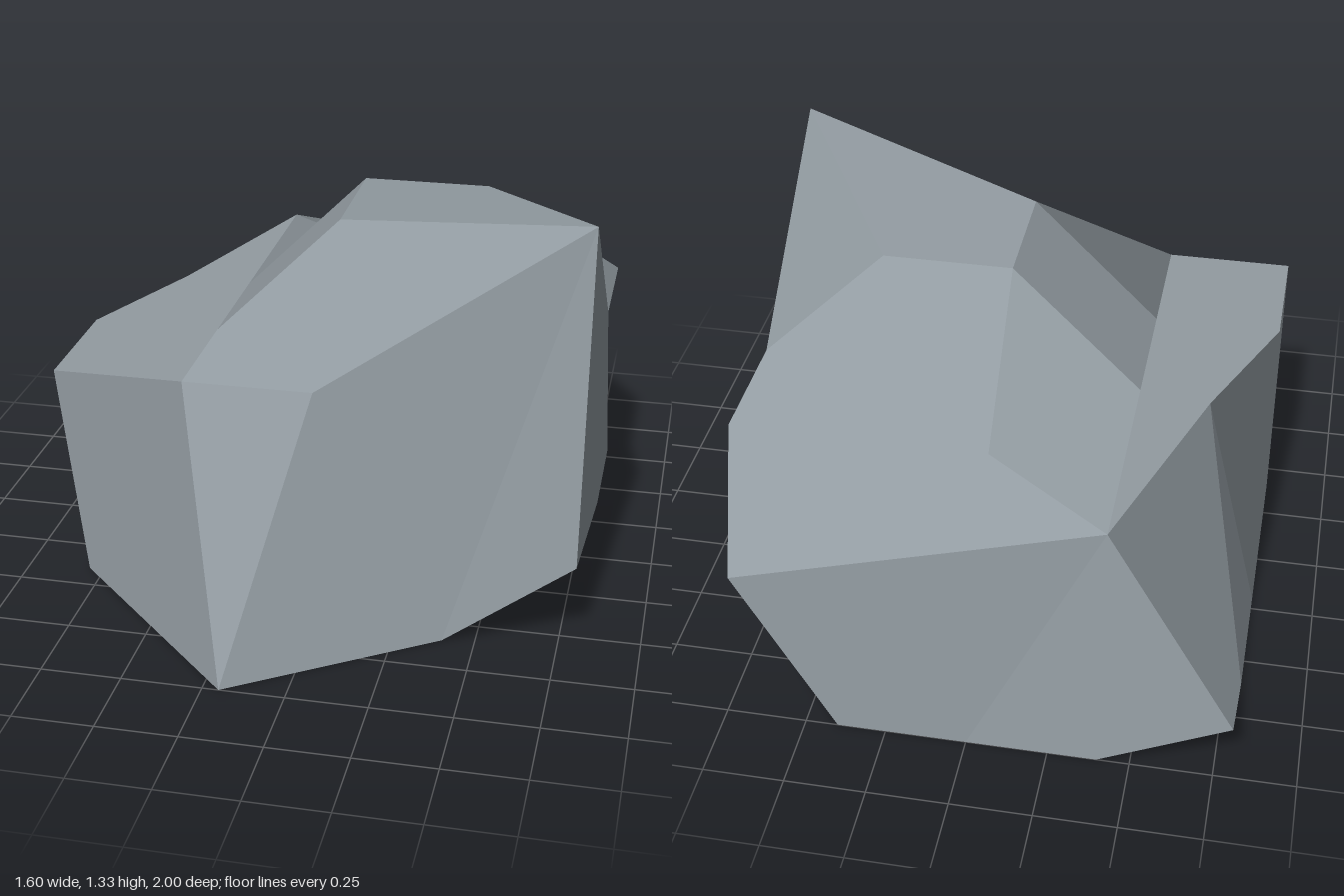
import * as THREE from 'three';

// Corner points of the boulder, grouped by level
const P = {
  // ground outline
  gTip: [-0.2, 0, 1], gLeft: [-0.8, 0, 0.4], gLeftMid: [-0.8, 0, -0.2], gLeftBack: [-0.8, 0, -0.6],
  gBack: [-0.4, 0, -1], gBackMid: [0, 0, -1], gBackEnd: [0.4, 0, -1],
  gSideBack: [0.4, 0, -0.2], gSideMid: [0.4, 0, 0.2], gSide: [0.4, 0, 0.6],
  // lower rim of the overhanging side
  rFront: [0.8, 0.3, 0.6], rMid: [0.8, 0.2, 0.2], rLow: [0.8, 0.1, -0.2], rBack: [0.8, 0.1, -0.6],
  backCorner: [-0.8, 0.2, -1], backTip: [0.7, 0.55, -1],
  // ledge level
  lFront: [-0.8, 0.8, 0.6], lEdge: [-0.8, 0.8, 0.2], lNotch: [-0.62, 0.8, -0.23], lBack: [-0.4, 0.8, -0.9],
  lStep: [-0.4, 0.8, -0.2], lStepFront: [-0.4, 0.8, 0.2], lBrow: [-0.4, 0.8, 0.6], lNose: [0, 0.8, 0.6],
  lInner: [0, 0.8, -0.6], lSideBack: [0.8, 0.8, -0.6], lSide: [0.8, 0.8, -0.2],
  // crown
  cFront: [0, 1.2, 0.2], cBack: [0, 1.2, -0.2], cSide: [0.4, 1.2, -0.2], peak: [0.8, 1.325, 0.45],
};

// Facets, counter-clockwise from outside; each is fanned from its first corner
const FACETS = [
  // front
  'lBrow lFront gLeft gTip',
  'lBrow gTip lNose',
  'gTip gSide peak lNose',
  'peak gSide rFront',
  'cFront lStepFront lBrow lNose peak',
  // side and its undercut
  'lSide peak rFront rMid rLow rBack backTip lSideBack',
  'gSide gSideMid rMid rFront',
  'gSideMid gSideBack rLow rMid',
  'rBack rLow gSideBack gBackEnd backTip',
  // back
  'lBack backTip gBackEnd gBackMid',
  'lBack gBackMid gBack backCorner',
  'gLeftBack backCorner gBack',
  // left
  'lNotch lBack backCorner gLeftBack',
  'lNotch gLeftBack gLeftMid',
  'lEdge lNotch gLeftMid gLeft lFront',
  // ledge and crown
  'lNotch lEdge lFront lBrow lStepFront lStep lBack',
  'lStep lStepFront cFront cBack',
  'lStep cBack lInner lBack',
  'cFront peak cSide cBack',
  'cSide peak lSide',
  'lSideBack backTip lBack lInner cBack cSide lSide',
  // base
  'gSide gTip gLeft gLeftMid gLeftBack gBack gBackMid gBackEnd gSideBack gSideMid',
];

// One averaged normal per facet keeps slightly bent facets evenly shaded
function facetNormal(corners) {
  const n = new THREE.Vector3();
  corners.forEach((a, i) => {
    const b = corners[(i + 1) % corners.length];
    n.add(new THREE.Vector3().crossVectors(a, b));
  });
  return n.normalize();
}

function facetedGeometry(points, facets) {
  const position = [], normal = [];
  for (const facet of facets) {
    const corners = facet.split(' ').map((key) => new THREE.Vector3(...points[key]));
    const n = facetNormal(corners);
    for (let i = 1; i < corners.length - 1; i++) {
      for (const v of [corners[0], corners[i], corners[i + 1]]) {
        position.push(v.x, v.y, v.z);
        normal.push(n.x, n.y, n.z);
      }
    }
  }
  const geometry = new THREE.BufferGeometry();
  geometry.setAttribute('position', new THREE.Float32BufferAttribute(position, 3));
  geometry.setAttribute('normal', new THREE.Float32BufferAttribute(normal, 3));
  return geometry;
}

export function createModel() {
  const group = new THREE.Group();
  group.name = 'rock';
  const stone = new THREE.MeshStandardMaterial({ color: 0x929ba1 });
  stone.name = 'stone grey';
  const boulder = new THREE.Mesh(facetedGeometry(P, FACETS), stone);
  boulder.name = 'boulder';
  group.add(boulder);
  return group;
}
